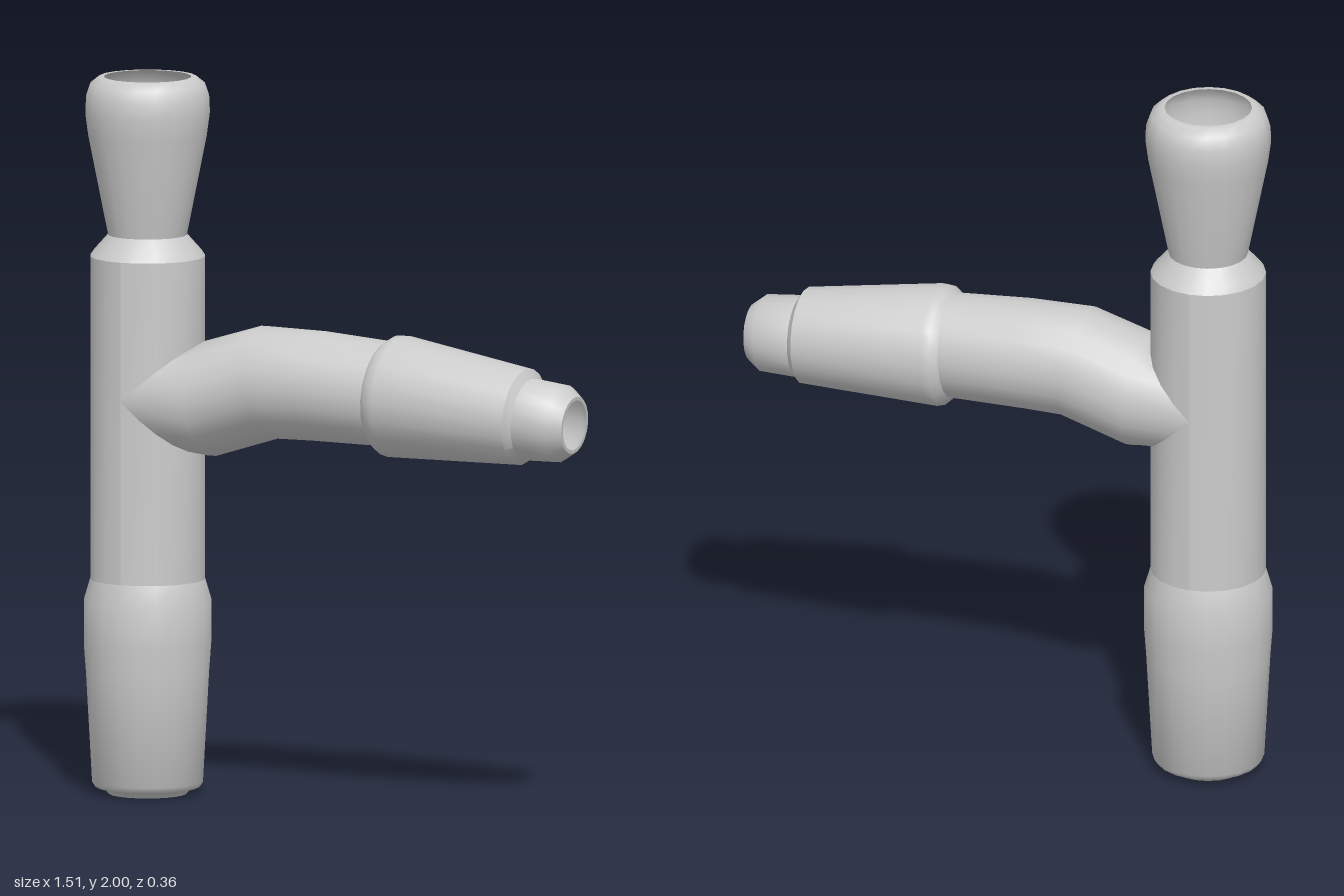
import * as THREE from 'three';
import { toCreasedNormals } from 'three/addons/utils/BufferGeometryUtils.js';

const SIDES = 20;
const AXIS_X = -0.58;     // axis of the upright tube
const TUBE_R = 0.16;
const JOINT_Y = 1.11;     // centre of the side opening
const JOINT_R = 0.148;    // half height of the side opening

const material = new THREE.MeshStandardMaterial({ color: 0xcccccc, side: THREE.DoubleSide });

// Skin a list of equally long point rows
function loft(name, rows) {
  const n = rows[0].length;
  const index = [];
  for (let j = 0; j < rows.length - 1; j++) {
    for (let i = 0; i < n - 1; i++) {
      const a = j * n + i, b = a + 1, c = a + n, d = c + 1;
      index.push(a, c, b, b, c, d);
    }
  }
  const geometry = new THREE.BufferGeometry().setFromPoints(rows.flat());
  geometry.setIndex(index);
  const mesh = new THREE.Mesh(toCreasedNormals(geometry, 0.7), material);
  mesh.name = name;
  return mesh;
}

// One row of points, for angles from t0 to t1
function row(point, t0 = 0, t1 = Math.PI * 2) {
  const count = Math.round((t1 - t0) / (Math.PI * 2) * SIDES);
  return Array.from({ length: count + 1 }, (_, i) => point(t0 + (t1 - t0) * i / count));
}

// Point on the upright tube
const onTube = (r, t, y) =>
  new THREE.Vector3(AXIS_X + r * Math.cos(t), y, r * Math.sin(t));

const tubeSection = (name, profile) =>
  loft(name, profile.map(([r, y]) => row(t => onTube(r, t, y))));

// Tilted circular section of the side arm
const armRing = ([x, y, r, tilt]) => row(t => new THREE.Vector3(
  x - Math.sin(tilt) * r * Math.cos(t),
  y + Math.cos(tilt) * r * Math.cos(t),
  -r * Math.sin(t)));

export function createModel() {
  const model = new THREE.Group();
  model.name = 'branchedTubeAdapter';

  // Tapered lower joint, open at the bottom
  model.add(tubeSection('lowerJoint', [
    [0.108, 0], [0.118, 0.012], [0.145, 0.02], [0.155, 0.035], [0.172, 0.34],
    [0.178, 0.42], [0.178, 0.54], [TUBE_R, 0.6],
  ]));

  // Straight wall, pierced on the arm side
  const wall = new THREE.Group();
  wall.name = 'uprightTube';
  const h = Math.PI / 2;
  wall.add(loft('backWall', [0.6, 1.5].map(y => row(t => onTube(TUBE_R, t, y), h, 3 * h))));
  wall.add(loft('wallBelowArm', [
    row(t => onTube(TUBE_R, t, 0.6), -h, h),
    row(t => onTube(TUBE_R, t, JOINT_Y - JOINT_R * Math.cos(t)), -h, h),
  ]));
  wall.add(loft('wallAboveArm', [
    row(t => onTube(TUBE_R, t, JOINT_Y + JOINT_R * Math.cos(t)), -h, h),
    row(t => onTube(TUBE_R, t, 1.5), -h, h),
  ]));
  model.add(wall);

  // Narrow neck flaring into the rounded open cup
  model.add(tubeSection('neckAndCup', [
    [TUBE_R, 1.5], [0.15, 1.515], [0.11, 1.56], [0.166, 1.84], [0.174, 1.9],
    [0.172, 1.945], [0.16, 1.98], [0.135, 2], [0.121, 2],
  ]));

  // Side arm, starting on a saddle curve around the opening
  const saddle = row(t => new THREE.Vector3(
    AXIS_X + TUBE_R * Math.abs(Math.cos(t)),
    JOINT_Y + JOINT_R * Math.cos(t),
    -TUBE_R * Math.sin(t)));
  const bend = [
    [-0.385, 1.114, 0.16, 0.12], [-0.2, 1.172, 0.158, 0.16],
    [-0.05, 1.172, 0.154, -0.02], [0.16, 1.164, 0.147, -0.06],
  ];
  model.add(loft('sideArm', [saddle, ...bend.map(armRing)]));

  // Tapered arm joint with a stepped, open tip
  model.add(loft('armJoint', [
    [0.16, 1.164, 0.147, -0.06], [0.182, 1.161, 0.167, -0.06], [0.205, 1.159, 0.171, -0.06],
    [0.595, 1.128, 0.135, -0.06], [0.612, 1.122, 0.115, -0.06], [0.715, 1.117, 0.108, -0.06],
    [0.752, 1.115, 0.08, -0.06], [0.752, 1.115, 0.07, -0.06],
  ].map(armRing)));

  return model;
}
